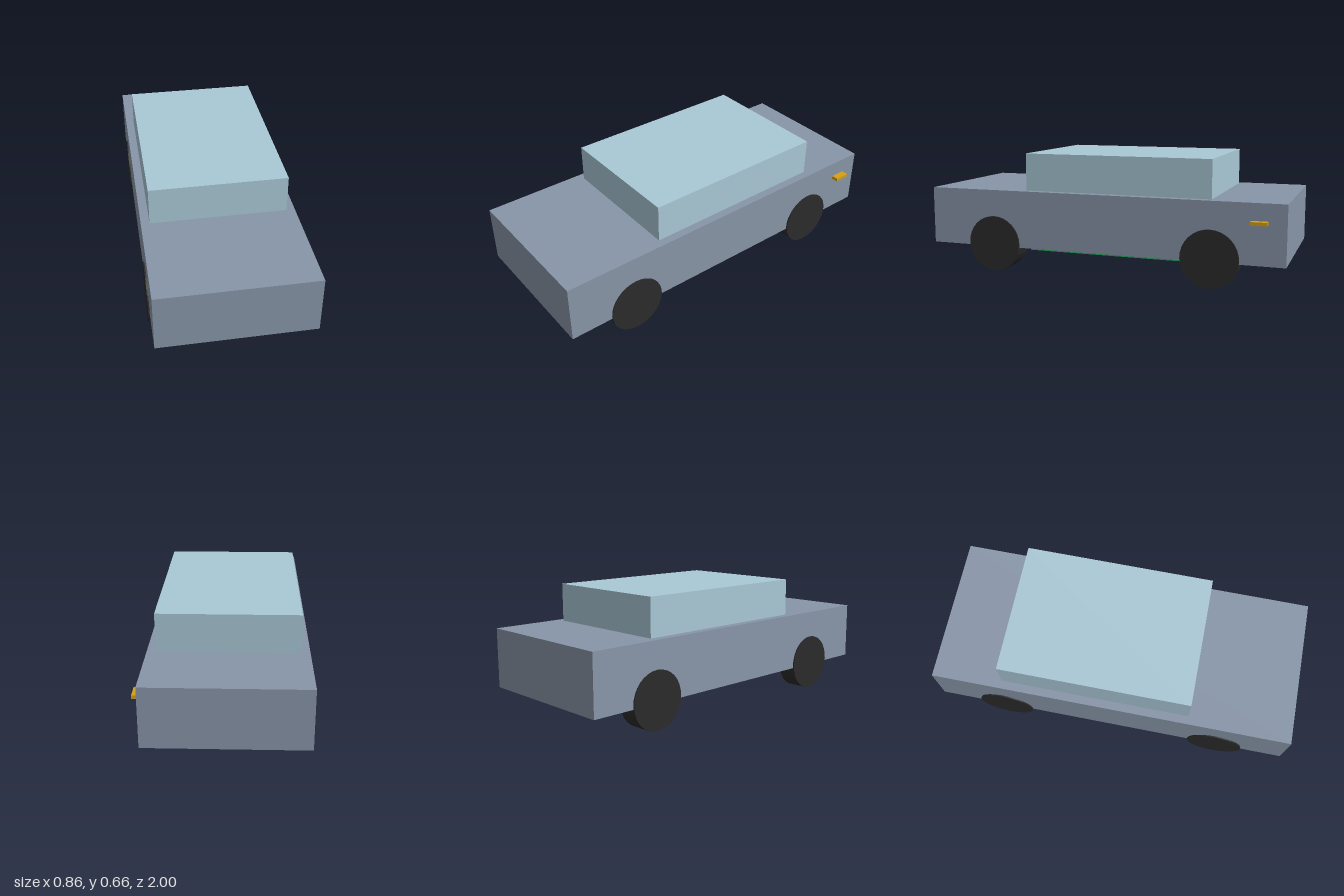
import * as THREE from 'three';

const paint = (color) => new THREE.MeshStandardMaterial({ color });

export function createModel() {
  const car = new THREE.Group();
  car.name = 'car';

  // The car's centre line; the charge port shifts it off x = 0
  const shell = new THREE.Group();
  shell.name = 'carBody';
  shell.position.x = -0.016;
  car.add(shell);

  // Box given by its width and its y and z ranges
  function block(name, material, width, [y0, y1], [z0, z1], x = 0) {
    const mesh = new THREE.Mesh(new THREE.BoxGeometry(width, y1 - y0, z1 - z0), material);
    mesh.name = name;
    mesh.position.set(x, (y0 + y1) / 2, (z0 + z1) / 2);
    shell.add(mesh);
    return mesh;
  }

  // Lower body and cabin
  block('lowerBody', paint(0x8896a8), 0.818, [0.138, 0.455], [-1, 1]);
  block('cabin', paint(0xa9c8d6), 0.727, [0.455, 0.66], [-0.612, 0.432]);

  // Underfloor battery and the rear unit behind it
  block('batteryPack', paint(0x27ae60), 0.562, [0.102, 0.138], [-0.454, 0.454]);
  block('rearPowerUnit', paint(0xd9681d), 0.409, [0.098, 0.138], [-0.71, -0.513]);

  // Charge port on the left rear flank
  block('chargePort', paint(0xd4a017), 0.038, [0.347, 0.365], [-0.907, -0.82], 0.428);

  // Wheels, each with a small sensor on its inner side
  const tyre = paint(0x2b2b2b);
  tyre.flatShading = true;
  const purple = paint(0x8e44ad);
  const wheelShape = new THREE.CylinderGeometry(0.154, 0.154, 0.106, 32).rotateZ(Math.PI / 2);
  for (const [end, z] of [['front', 0.613], ['rear', -0.613]]) {
    for (const [side, s] of [['Left', 1], ['Right', -1]]) {
      const wheel = new THREE.Mesh(wheelShape, tyre);
      wheel.name = `${end}${side}Wheel`;
      wheel.position.set(s * 0.363, 0.154, z);
      shell.add(wheel);
      block(`${end}${side}WheelSensor`, purple, 0.014, [0.124, 0.138], [z - 0.007, z + 0.007], s * 0.3);
    }
  }
  return car;
}
